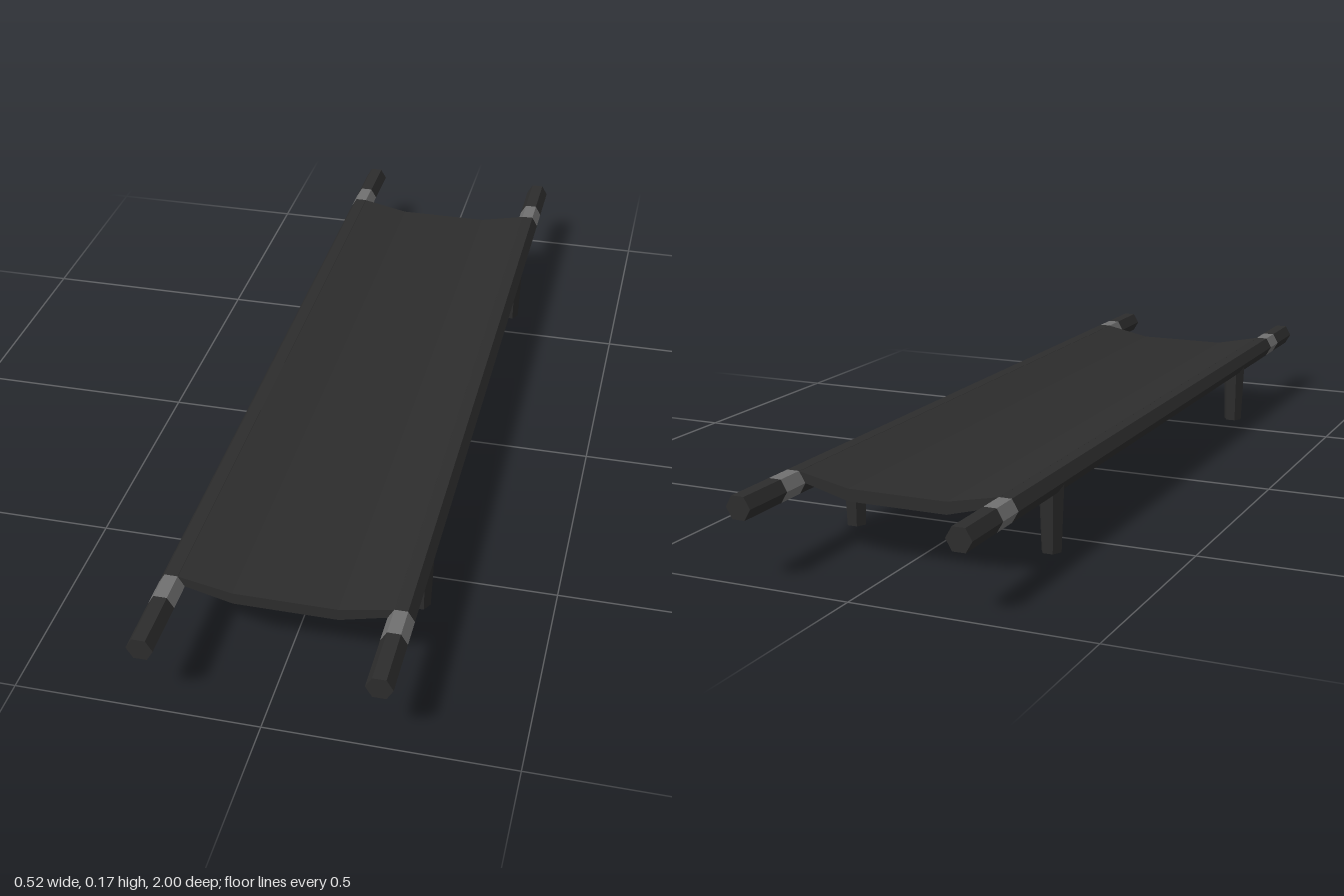
import * as THREE from 'three';

const dark = new THREE.MeshStandardMaterial({ color: 0x2d2d2d, flatShading: true });
dark.name = 'charcoal';
const grey = new THREE.MeshStandardMaterial({ color: 0x707070, flatShading: true });
grey.name = 'grey band';

// Six-sided bar with corners pointing to +x and -x
const hexBar = (top, bottom, length, open = false) =>
  new THREE.CylinderGeometry(top, bottom, length, 6, 1, open, Math.PI / 6);

function add(parent, name, geometry, material, x, y, z) {
  const mesh = new THREE.Mesh(geometry, material);
  mesh.name = name;
  mesh.position.set(x, y, z);
  parent.add(mesh);
}

export function createModel() {
  const group = new THREE.Group();
  group.name = 'stretcher';
  const R = 0.027, Y = 0.1515, BED = 0.81, BAND = 0.875;

  // Sagging bed sheet, extruded along the length
  const half = [[0.107, 0.152], [0.22, 0.175], [0.206, 0.152], [0.107, 0.126]];
  const profile = [
    ...half.map(([x, y]) => new THREE.Vector2(x, y)),
    ...half.slice().reverse().map(([x, y]) => new THREE.Vector2(-x, y)),
  ];
  const bed = new THREE.ExtrudeGeometry(new THREE.Shape(profile), { depth: BED * 2, bevelEnabled: false });
  add(group, 'bed', bed, dark, 0, 0, -BED);

  for (const side of [-1, 1]) {
    const sideName = side > 0 ? 'left' : 'right';

    // Carrying pole: middle run, then band and handle at each end
    const pole = new THREE.Group();
    pole.name = sideName + 'Pole';
    group.add(pole);
    const x = side * 0.231;
    add(pole, 'poleMiddle', hexBar(R, R, BED * 2, true).rotateX(Math.PI / 2), dark, x, Y, 0);

    for (const end of [-1, 1]) {
      const endName = end > 0 ? 'front' : 'back';
      add(pole, endName + 'Band', hexBar(R, R, BAND - BED, true).rotateX(Math.PI / 2),
        grey, x, Y, end * (BED + BAND) / 2);
      add(pole, endName + 'Handle', hexBar(R, R, 1 - BAND).rotateX(Math.PI / 2),
        dark, x, Y, end * (1 + BAND) / 2);

      // Tapered leg
      add(group, sideName + endName[0].toUpperCase() + endName.slice(1) + 'Leg',
        hexBar(0.028, 0.022, 0.147), dark, side * 0.225, 0.0735, end * 0.587);
    }
  }
  return group;
}
